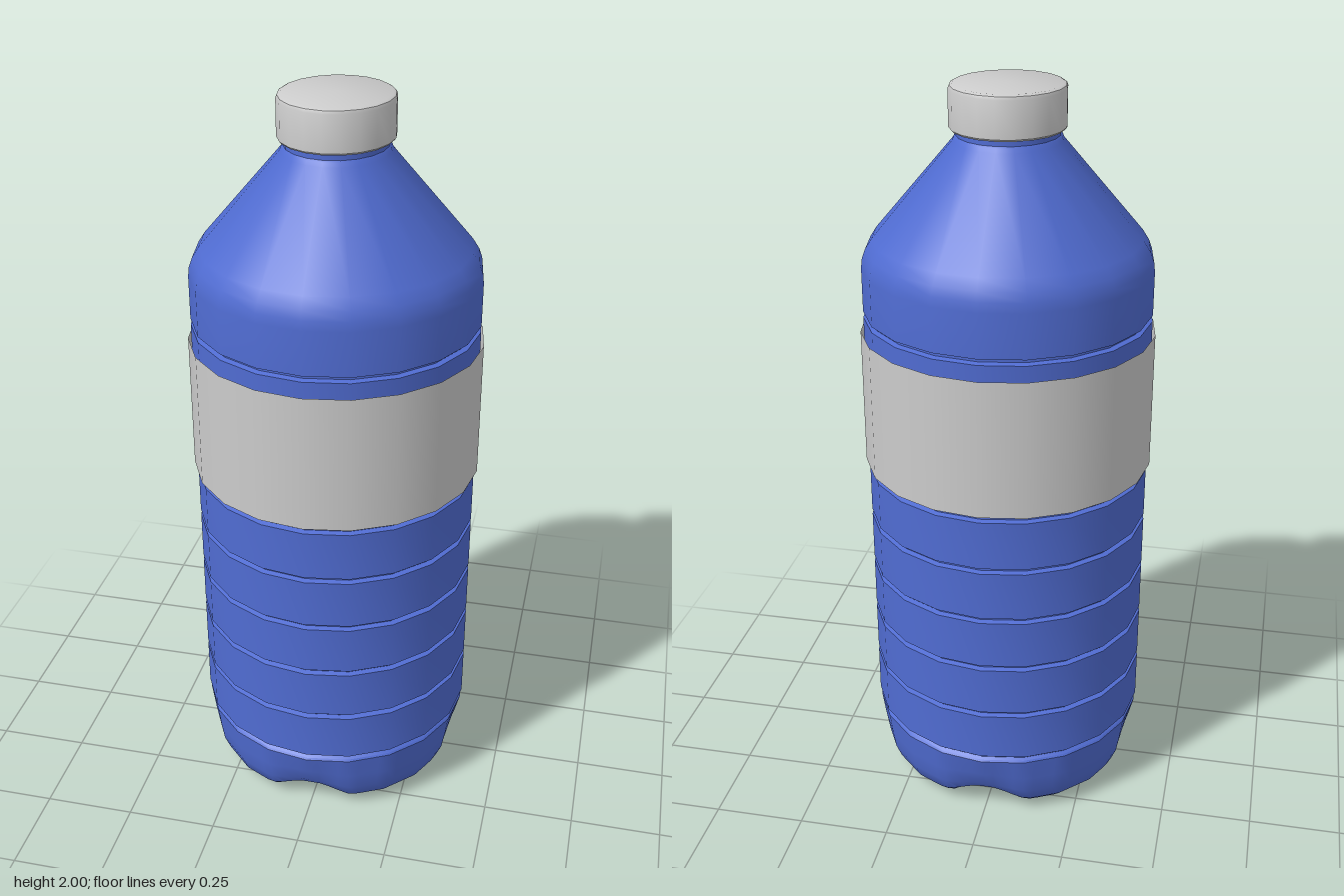
import * as THREE from 'three';
import { toCreasedNormals } from 'three/addons/utils/BufferGeometryUtils.js';

const SIDES = 20;
const R = 0.385;

const lathe = (pts, segments) =>
  new THREE.LatheGeometry(pts.map(([r, y]) => new THREE.Vector2(r, y)), segments);

// Apply a rule to every vertex, then smooth all but the sharp edges
function reshape(geo, rule) {
  const pos = geo.attributes.position;
  const v = new THREE.Vector3();
  for (let i = 0; i < pos.count; i++) {
    rule(v.fromBufferAttribute(pos, i), i);
    pos.setXYZ(i, v.x, v.y, v.z);
  }
  return toCreasedNormals(geo, 0.6);
}

// Ribbed wall, shoulder and neck; the neck is slightly oval
function bodyGeometry() {
  const pts = [[0.378, 0.2]];
  for (const y of [0.21, 0.36, 0.512, 0.663, 0.815, 0.967, 1.403]) {
    if (y > 0.21) pts.push([R, y - 0.008]);
    pts.push([0.371, y - 0.004], [0.371, y + 0.004], [R, y + 0.008]);
  }
  pts.push([R, 1.53], [0.382, 1.555], [0.373, 1.58], [0.355, 1.608],
    [0.142, 1.858], [0.138, 1.868], [0.134, 1.872], [0.134, 1.895]);
  return reshape(lathe(pts, SIDES), (v) => {
    v.z *= 1 + 0.09 * THREE.MathUtils.smoothstep(v.y, 1.55, 1.86);
  });
}

// Four-footed base: blends a foot section into a notch section around the axis
function baseGeometry() {
  const foot = [[0, 0.14], [0.1, 0.085], [0.19, 0.02], [0.235, 0.002], [0.28, 0],
    [0.32, 0.012], [0.35, 0.04], [0.366, 0.08], [0.374, 0.13], [0.382, 0.195], [0.378, 0.2]];
  const notch = [[0, 0.14], [0.1, 0.127], [0.19, 0.111], [0.235, 0.1], [0.28, 0.088],
    [0.315, 0.077], [0.338, 0.074], [0.354, 0.095], [0.368, 0.14], [0.382, 0.195], [0.378, 0.2]];
  const segments = 80;
  const quarter = Math.PI / 2, facet = (2 * Math.PI) / SIDES;
  return reshape(lathe(foot, segments), (v, i) => {
    const j = i % foot.length;
    const step = Math.floor(i / foot.length) % segments;
    const a = (step / segments) * 2 * Math.PI;
    const fromNotch = Math.min(a % quarter, quarter - (a % quarter));
    const w = THREE.MathUtils.smoothstep(fromNotch, 0, 0.42);
    // keeps the outline on the same polygon as the wall
    const poly = Math.cos(facet / 2) / Math.cos((a % facet) - facet / 2);
    const r = THREE.MathUtils.lerp(notch[j][0], foot[j][0], w) * poly;
    v.set(r * Math.sin(a), THREE.MathUtils.lerp(notch[j][1], foot[j][1], w), r * Math.cos(a));
  });
}

// Oval screw cap with a softened rim
function capGeometry() {
  const pts = [[0, 1.888], [0.146, 1.888], [0.15, 1.893], [0.15, 1.988],
    [0.147, 1.996], [0.14, 2], [0, 2]];
  return reshape(lathe(pts, SIDES), (v) => { v.z = v.z * 1.1 - 0.003; });
}

export function createModel() {
  const blue = new THREE.MeshStandardMaterial({ color: 0x506cd2 });
  const grey = new THREE.MeshStandardMaterial({ color: 0xcccccc });
  const band = new THREE.MeshStandardMaterial({ color: 0xcccccc, side: THREE.DoubleSide });

  const model = new THREE.Group();
  model.name = 'bottle';
  const add = (name, geo, mat) => {
    const mesh = new THREE.Mesh(geo, mat);
    mesh.name = name;
    model.add(mesh);
    return mesh;
  };

  add('body', bodyGeometry(), blue);
  add('base', baseGeometry(), blue);
  add('cap', capGeometry(), grey);

  // Thin sleeve around the wall
  add('label', new THREE.CylinderGeometry(0.394, 0.394, 0.376, SIDES, 1, true), band)
    .position.y = 1.167;
  return model;
}
